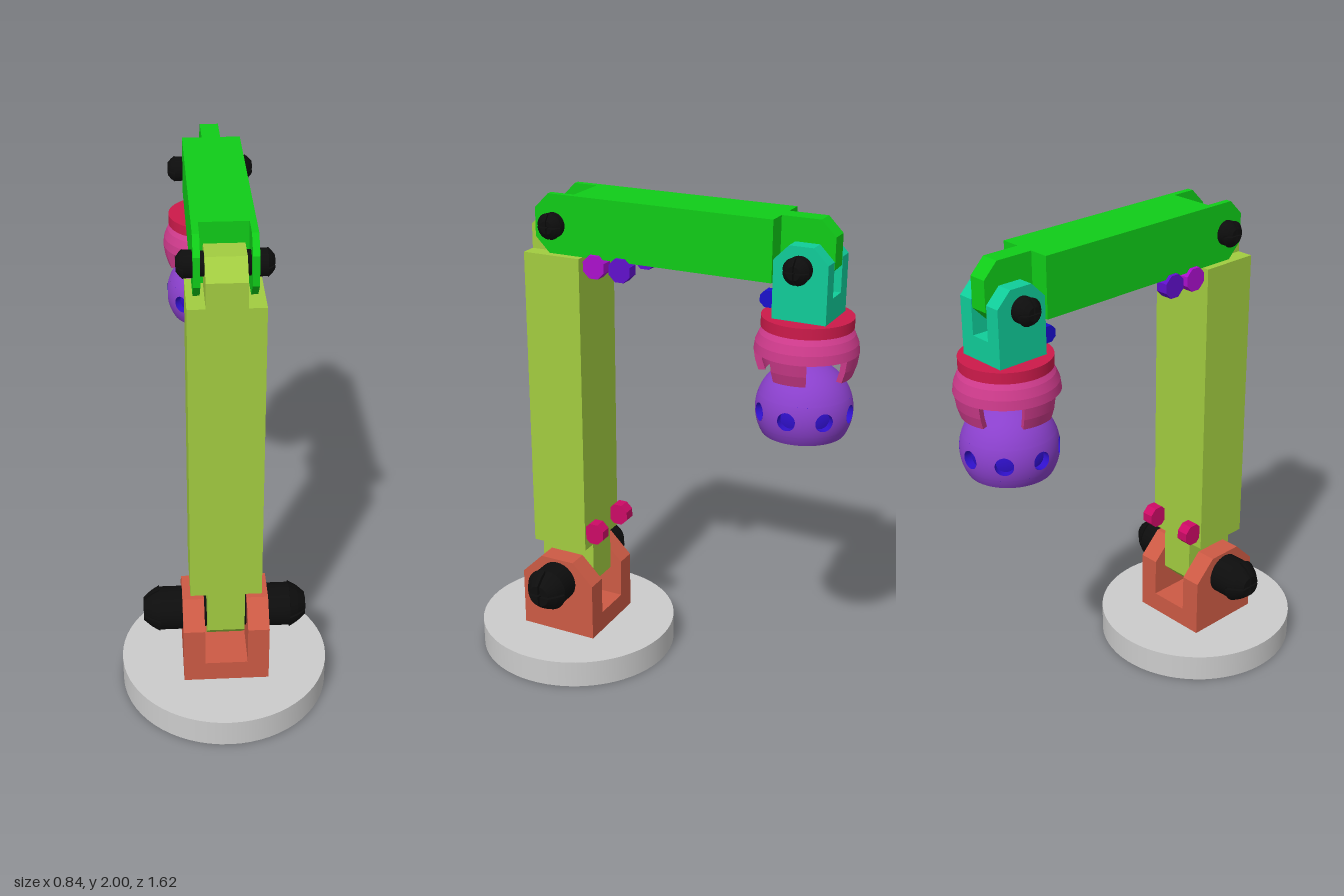
import * as THREE from 'three';
import { mergeGeometries } from 'three/addons/utils/BufferGeometryUtils.js';

const paint = (color) => new THREE.MeshStandardMaterial({ color, side: THREE.DoubleSide });
const black = paint(0x0d0d0d);
const lime = paint(0xa2cc40), green = paint(0x10cc18), teal = paint(0x10cc99), brick = paint(0xcc5a44);
const pink = paint(0xcc3a8a), purple = paint(0x8a40cc), blue = paint(0x3010cc);

function add(parent, name, geometry, material) {
  const mesh = new THREE.Mesh(geometry, material);
  mesh.name = name;
  parent.add(mesh);
  return mesh;
}

// Plate with a side outline of [z, y] points, running from x0 to x1
function plate(points, x0, x1) {
  const shape = new THREE.Shape(points.map(([z, y]) => new THREE.Vector2(-z, y)));
  return new THREE.ExtrudeGeometry(shape, { depth: x1 - x0, bevelEnabled: false })
    .rotateY(Math.PI / 2).translate(x0, 0, 0);
}

// Rectangle outline with a cut at chosen corners: b = bottom, t = top, f = front, k = back
function outline(zf, zk, yb, yt, cut, corners) {
  const has = (c) => (corners.includes(c) ? cut : 0);
  const p = [];
  const corner = (z, y, dz, dy, c, flip) => {
    const k = has(c);
    if (!k) return p.push([z, y]);
    const pair = [[z + dz * k, y], [z, y + dy * k]];
    p.push(...(flip ? pair.reverse() : pair));
  };
  corner(zf, yb, -1, 1, 'bf', true);
  corner(zk, yb, 1, 1, 'bk', false);
  corner(zk, yt, 1, -1, 'tk', true);
  corner(zf, yt, -1, -1, 'tf', false);
  return p;
}

const lathe = (pts, seg = 48, a = 0, len = Math.PI * 2) =>
  new THREE.LatheGeometry(pts.map(([r, y]) => new THREE.Vector2(r, y)), seg, a, len);

// Hard-edged turned solid: each profile span is its own band
const turned = (pts, seg = 48, a = 0, len = Math.PI * 2) =>
  mergeGeometries(pts.slice(1).map((p, i) => lathe([pts[i], p], seg, a, len)));

// Part of a turned solid, closed at both cut ends
function sector(pts, a, len, seg = 10) {
  const shape = new THREE.Shape(pts.map(([r, y]) => new THREE.Vector2(r, y)));
  const caps = [a, a + len].map((t) => new THREE.ShapeGeometry(shape).rotateY(t - Math.PI / 2));
  return mergeGeometries([turned([...pts, pts[0]], seg, a, len), ...caps]);
}

// Split snap pin through a joint, with a head on each side
function pin(parent, name, y, z, r, inner, outer) {
  const g = new THREE.Group();
  g.name = name;
  g.position.set(0, y, z);
  const lip = inner + (outer - inner) * 0.58;
  add(g, name + 'Shaft', new THREE.CylinderGeometry(r * 0.85, r * 0.85, inner * 2, 32).rotateZ(Math.PI / 2), black);
  for (const s of [1, -1]) {
    const head = new THREE.Group();
    head.name = name + 'Head';
    head.rotation.z = -s * Math.PI / 2;
    add(head, 'collar', turned([[0, inner], [r * 0.93, inner], [r * 0.93, lip], [0, lip]], 32), black);
    const gap = r * 0.07;
    for (let i = 0; i < 4; i++) {
      const a = i * Math.PI / 2, m = a + Math.PI / 4;
      const tip = sector([[0, lip], [r * 0.92, lip], [r * 0.72, (lip + outer) / 2], [r * 0.42, outer], [0, outer]], a, Math.PI / 2);
      add(head, 'snapTip', tip.translate(gap * Math.sin(m), 0, gap * Math.cos(m)), black);
    }
    g.add(head);
  }
  parent.add(g);
}

// Pair of eight-sided cable clips
function clips(parent, name, y, z, r, color, x = 0.105, w = 0.05) {
  for (const s of [1, -1]) {
    const c = new THREE.CylinderGeometry(r, r, w, 8).toNonIndexed();
    c.computeVertexNormals();
    c.rotateY(Math.PI / 8).rotateZ(Math.PI / 2).translate(s * x, y, z);
    add(parent, name, c, paint(color));
  }
}

// Ball surface between two latitudes with a ring of round holes
function piercedBand(R, lat0, lat1, holes, holeR) {
  const parts = [], half = Math.PI / holes, N = 40, M = 6;
  const mid = (lat0 + lat1) / 2, h = (lat1 - lat0) / 2;
  const angles = [];
  for (let k = 0; k < N; k++) angles.push(k * 2 * Math.PI / N);
  const q = Math.atan2(h, half);
  angles.push(q, Math.PI - q, Math.PI + q, 2 * Math.PI - q);
  angles.sort((a, b) => a - b).push(Math.PI * 2);
  for (let s = 0; s < holes; s++) {
    const pos = [], nor = [], idx = [], W = M + 1;
    for (const a of angles) {
      const c = Math.cos(a), d = Math.sin(a);
      const edge = Math.min(half / Math.max(Math.abs(c), 1e-6), h / Math.max(Math.abs(d), 1e-6));
      for (let j = 0; j <= M; j++) {
        const t = holeR + (edge - holeR) * j / M;
        const lon = s * 2 * half + t * c, lat = mid + t * d;
        const n = [Math.cos(lat) * Math.sin(lon), Math.sin(lat), Math.cos(lat) * Math.cos(lon)];
        nor.push(...n);
        pos.push(...n.map((v) => v * R));
      }
    }
    for (let k = 0; k < angles.length - 1; k++) for (let j = 0; j < M; j++) {
      const p = k * W + j;
      idx.push(p, p + 1, p + W, p + 1, p + W + 1, p + W);
    }
    const g = new THREE.BufferGeometry();
    g.setAttribute('position', new THREE.Float32BufferAttribute(pos, 3));
    g.setAttribute('normal', new THREE.Float32BufferAttribute(nor, 3));
    g.setIndex(idx);
    parts.push(g);
  }
  return mergeGeometries(parts);
}

const arc = (R, a0, a1, n = 14) => Array.from({ length: n + 1 }, (_, i) => {
  const a = a0 + (a1 - a0) * i / n;
  return [Math.max(0, R * Math.cos(a)), R * Math.sin(a)];
});

export function createModel() {
  const model = new THREE.Group();
  model.name = 'jointedArmLamp';

  // Base and its forked bracket
  add(model, 'base', new THREE.CylinderGeometry(0.418, 0.418, 0.115, 64).translate(0, 0.0575, 0.397), paint(0xcccccc));
  add(model, 'baseBracketFloor', plate(outline(0.565, 0.23, 0.115, 0.2, 0, []), -0.17, 0.17), brick);
  for (const x of [-0.17, 0.085])
    add(model, 'baseBracketCheek', plate(outline(0.565, 0.23, 0.115, 0.455, 0.092, ['tf', 'tk']), x, x + 0.085), brick);
  pin(model, 'basePin', 0.355, 0.397, 0.093, 0.17, 0.325);

  // Upright arm with a tongue at each end
  add(model, 'lowerArm', plate(outline(0.52, 0.275, 0.512, 1.765, 0, []), -0.14, 0.14), lime);
  add(model, 'lowerArmTongue', plate(outline(0.52, 0.275, 0.265, 0.512, 0.068, ['bf', 'bk']), -0.074, 0.074), lime);
  add(model, 'lowerArmTopTongue', plate(outline(0.52, 0.275, 1.765, 1.93, 0.068, ['tf', 'tk']), -0.074, 0.074), lime);
  clips(model, 'lowerArmClip', 0.592, 0.24, 0.048, 0xcc0a66);

  // Horizontal arm: fork in front, tongue at the back
  add(model, 'upperArm', plate(outline(0.318, -0.51, 1.767, 2, 0, []), -0.115, 0.115), green);
  for (const x of [-0.115, 0.09])
    add(model, 'upperArmFork', plate(outline(0.478, 0.318, 1.767, 2, 0.06, ['tf', 'bf']), x, x + 0.025), green);
  add(model, 'upperArmTongue', plate(outline(-0.51, -0.72, 1.767, 2, 0.058, ['tk', 'bk']), -0.037, 0.037), green);
  pin(model, 'elbowPin', 1.88, 0.397, 0.053, 0.115, 0.172);
  clips(model, 'upperArmClip', 1.737, 0.217, 0.049, 0xaa10cc);
  clips(model, 'upperArmClip', 1.737, 0.105, 0.049, 0x6010cc);

  // Head bracket
  add(model, 'headBracketFloor', plate(outline(-0.51, -0.72, 1.63, 1.72, 0, []), -0.104, 0.104), teal);
  for (const x of [-0.104, 0.042])
    add(model, 'headBracketCheek', plate(outline(-0.51, -0.72, 1.63, 1.912, 0.058, ['tf', 'tk']), x, x + 0.062), teal);
  pin(model, 'headPin', 1.83, -0.613, 0.053, 0.104, 0.172);
  clips(model, 'headClip', 1.7, -0.49, 0.034, 0x1a10cc, 0.075, 0.04);

  // Lamp head
  const head = new THREE.Group();
  head.name = 'lampHead';
  head.position.z = -0.613;
  model.add(head);
  add(head, 'headPlate', new THREE.CylinderGeometry(0.173, 0.173, 0.042, 64).translate(0, 1.612, 0), paint(0xcc1a4a));
  add(head, 'socketCap', turned([[0, 1.56], [0.135, 1.56], [0.17, 1.5], [0.197, 1.5], [0.192, 1.535], [0.178, 1.568], [0.152, 1.6], [0, 1.6]], 64), pink);
  for (let i = 0; i < 4; i++) {
    const tab = sector([[0.17, 1.5], [0.197, 1.5], [0.19, 1.455], [0.176, 1.412], [0.15, 1.412], [0.164, 1.455]], -0.37, 0.74);
    add(head, 'socketTab', tab.rotateY(i * Math.PI / 2), pink);
  }

  // Hollow ball shade with eight round holes
  const ball = new THREE.Group();
  ball.name = 'ballShade';
  ball.position.y = 1.27;
  head.add(ball);
  const R = 0.185, r = 0.155, lo = -0.32, hi = 0.34, hole = 0.19, cut = -0.095;
  const end = Math.asin(cut / R), inEnd = Math.asin(cut / r);
  add(ball, 'shadeTop', lathe(arc(R, hi, Math.PI / 2), 64), purple);
  add(ball, 'shadeBand', piercedBand(R, lo, hi, 8, hole), purple);
  add(ball, 'shadeBottom', lathe(arc(R, end, lo, 4), 64), purple);
  add(ball, 'shadeRim', lathe([[r * Math.cos(inEnd), cut], [R * Math.cos(end), cut]], 64), purple);
  add(ball, 'shadeLining', lathe(arc(r, inEnd, Math.PI / 2), 64), blue);
  for (let i = 0; i < 8; i++) {
    const wall = new THREE.CylinderGeometry(R * hole * 0.995, R * hole * 0.995, 0.036, 24, 1, true);
    wall.rotateX(Math.PI / 2).translate(0, 0, 0.164).rotateX(-(lo + hi) / 2).rotateY(i * Math.PI / 4);
    add(ball, 'shadeHole', wall, blue);
  }
  return model;
}
